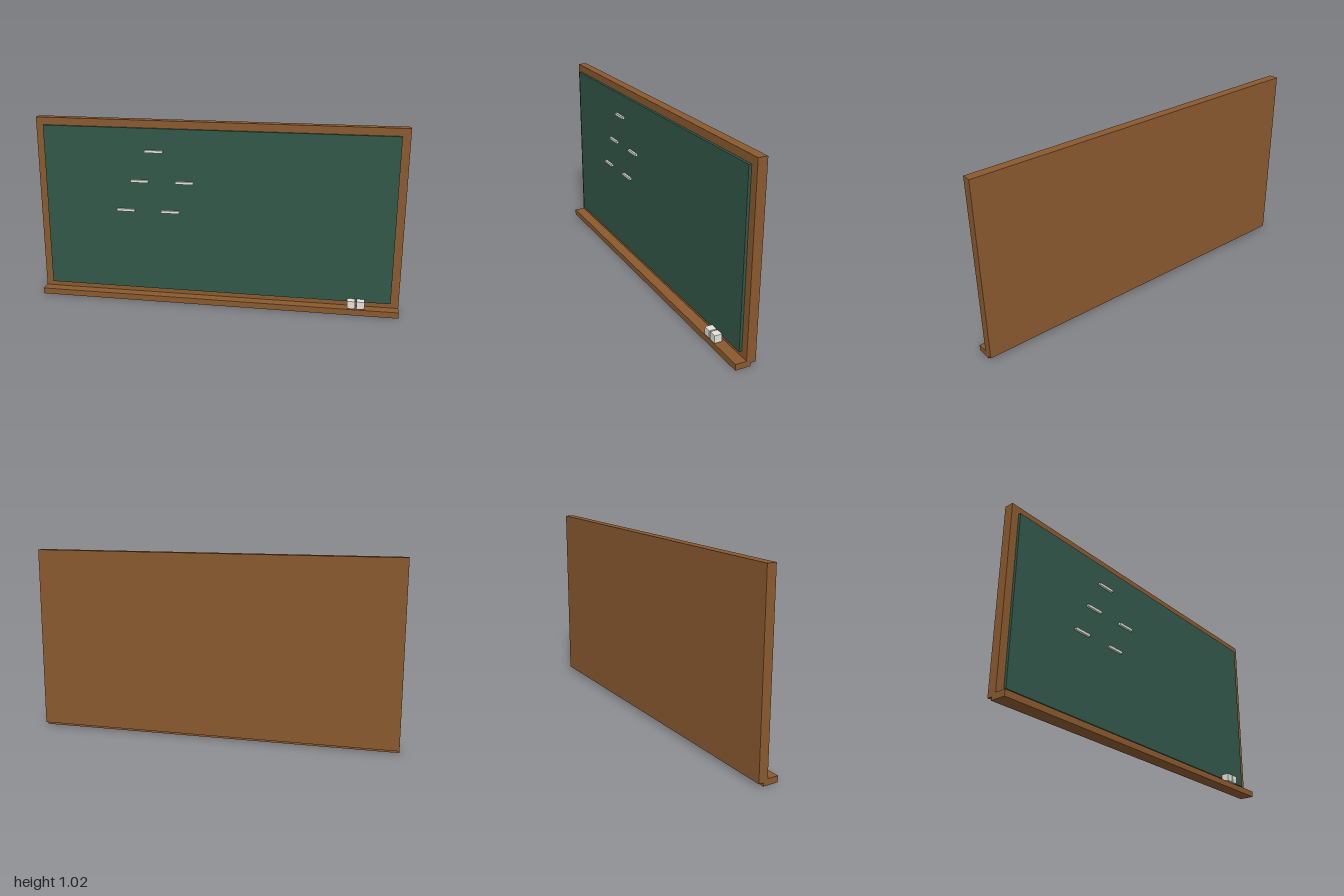
import * as THREE from 'three';

const material = (name, color) => {
  const m = new THREE.MeshStandardMaterial({ color });
  m.name = name;
  return m;
};

// Box given by its extents along each axis
function block(name, mat, [x0, x1], [y0, y1], [z0, z1]) {
  const mesh = new THREE.Mesh(new THREE.BoxGeometry(x1 - x0, y1 - y0, z1 - z0), mat);
  mesh.position.set((x0 + x1) / 2, (y0 + y1) / 2, (z0 + z1) / 2);
  mesh.name = name;
  return mesh;
}

export function createModel() {
  const wood = material('brown wood', 0x8b5a2f);
  const slate = material('green slate', 0x33584a);
  const white = material('chalk white', 0xe4e4dc);

  const model = new THREE.Group();
  model.name = 'chalkboard';

  // Wooden backing, writing surface and chalk tray
  model.add(block('frame', wood, [-1, 1], [0.018, 1.017], [-0.056, -0.006]));
  model.add(block('writingSurface', slate, [-0.957, 0.957], [0.061, 0.976], [-0.006, 0.008]));
  model.add(block('chalkTray', wood, [-1, 1], [0, 0.033], [-0.03, 0.053]));

  // Chalk strokes on the board: centre x, centre y
  const strokes = [[-0.337, 0.852], [-0.42, 0.685], [-0.171, 0.685], [-0.502, 0.518], [-0.251, 0.518]];
  for (const [x, y] of strokes) {
    model.add(block('chalkStroke', white, [x - 0.05, x + 0.05], [y - 0.007, y + 0.007], [0.007, 0.02]));
  }

  // Two chalk blocks above the tray
  for (const x of [0.747, 0.797]) {
    model.add(block('chalkBlock', white, [x - 0.021, x + 0.021], [0.039, 0.081], [0.015, 0.056]));
  }
  return model;
}
